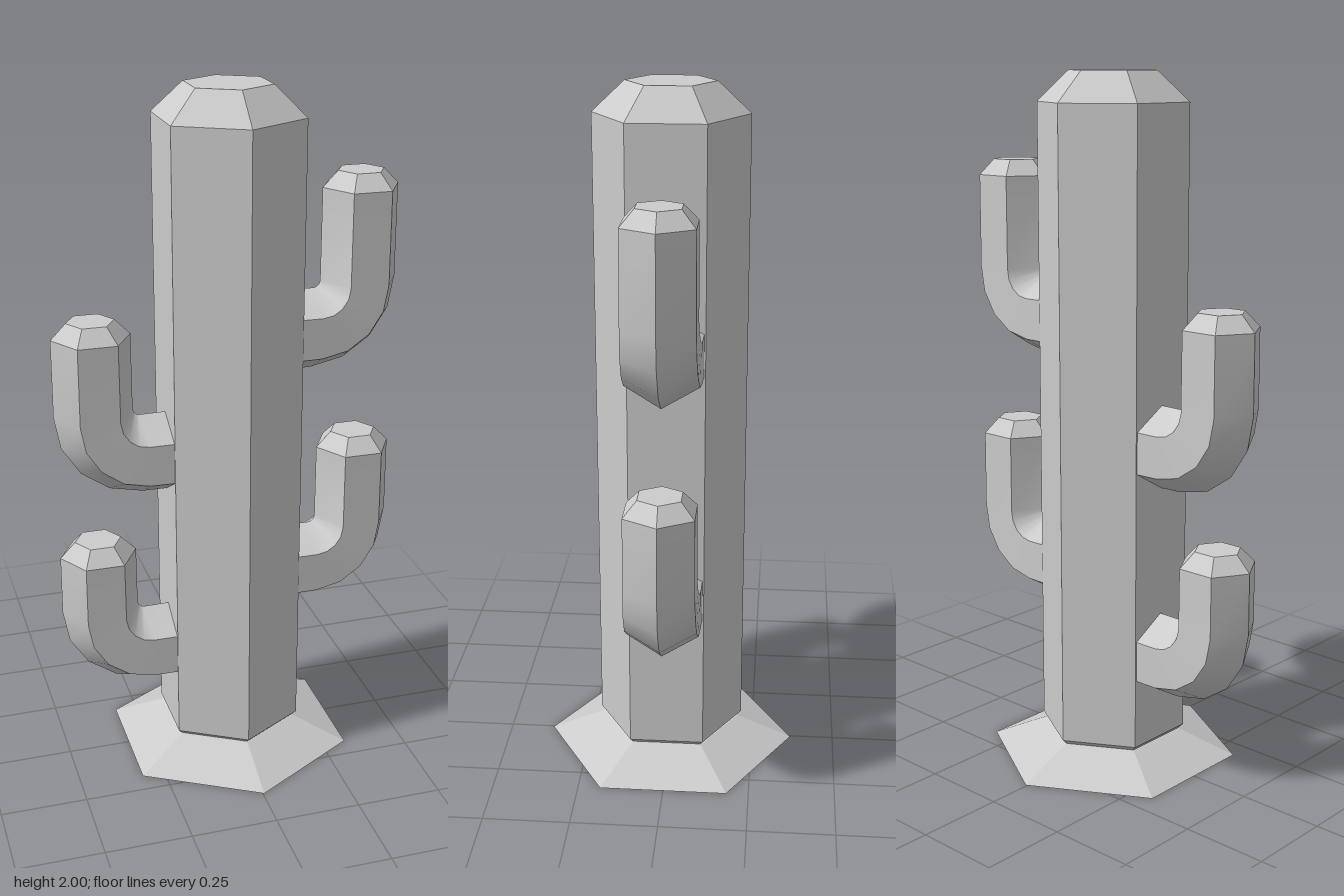
import * as THREE from 'three';
import { toCreasedNormals } from 'three/addons/utils/BufferGeometryUtils.js';

const SIDES = 6;
const REACH = 0.389; // distance from trunk axis to the upright part of an arm
const BEND = 0.137; // elbow radius

// Hexagonal arm running out along +x, bending upward and ending in a bevelled tip
function armGeometry(height) {
  const rings = [{ x: 0.1, y: 0, t: 0, r: 0.121 }];
  const steps = 4;
  for (let i = 0; i <= steps; i++) {
    const t = (i / steps) * Math.PI / 2;
    rings.push({
      x: REACH - BEND + BEND * Math.sin(t),
      y: BEND - BEND * Math.cos(t),
      t,
      r: 0.119 - 0.006 * i / steps,
    });
  }
  rings.push({ x: REACH, y: height - 0.045, t: Math.PI / 2, r: 0.112 });
  rings.push({ x: REACH, y: height, t: Math.PI / 2, r: 0.068 });

  const positions = [];
  const index = [];
  for (const { x, y, t, r } of rings) {
    for (let k = 0; k < SIDES; k++) {
      const a = (k / SIDES) * Math.PI * 2;
      const n = r * Math.cos(a);
      positions.push(x - n * Math.sin(t), y + n * Math.cos(t), r * Math.sin(a));
    }
  }
  for (let i = 0; i < rings.length - 1; i++) {
    for (let k = 0; k < SIDES; k++) {
      const a = i * SIDES + k;
      const b = i * SIDES + (k + 1) % SIDES;
      index.push(a, b, b + SIDES, a, b + SIDES, a + SIDES);
    }
  }
  // flat end of the tip
  const last = (rings.length - 1) * SIDES;
  for (let k = 1; k < SIDES - 1; k++) index.push(last, last + k, last + k + 1);

  const geometry = new THREE.BufferGeometry();
  geometry.setAttribute('position', new THREE.Float32BufferAttribute(positions, 3));
  geometry.setIndex(index);
  // smooth along the elbow, sharp along the hexagon's edges
  return toCreasedNormals(geometry, 0.6);
}

export function createModel() {
  const model = new THREE.Group();
  model.name = 'cactus';
  const flat = new THREE.MeshStandardMaterial({ color: 0xcccccc, flatShading: true });
  const smooth = new THREE.MeshStandardMaterial({ color: 0xcccccc });

  const add = (name, geometry, material, x, y) => {
    const mesh = new THREE.Mesh(geometry, material);
    mesh.name = name;
    mesh.position.set(x, y, 0);
    model.add(mesh);
    return mesh;
  };

  // Mound of earth
  add('groundMound', new THREE.CylinderGeometry(0.205, 0.37, 0.07, SIDES), flat, 0.004, 0.035);

  // Trunk with small lower bevel and bevelled top
  const profile = [[0, 0.02], [0.2, 0.02], [0.2, 0.07], [0.216, 0.085], [0.216, 1.915], [0.125, 2], [0, 2]]
    .map(([r, y]) => new THREE.Vector2(r, y));
  add('trunk', new THREE.LatheGeometry(profile, SIDES), flat, 0.004, 0);

  // Arms: name, side, elbow centre height, tip height
  const arms = [
    ['upperLeftArm', 1, 1.295, 1.745],
    ['lowerLeftArm', 1, 0.558, 0.965],
    ['upperRightArm', -1, 0.967, 1.375],
    ['lowerRightArm', -1, 0.35, 0.71],
  ];
  for (const [name, side, y, top] of arms) {
    const arm = add(name, armGeometry(top - y), smooth, -0.001, y);
    if (side < 0) arm.rotation.y = Math.PI;
  }
  return model;
}
